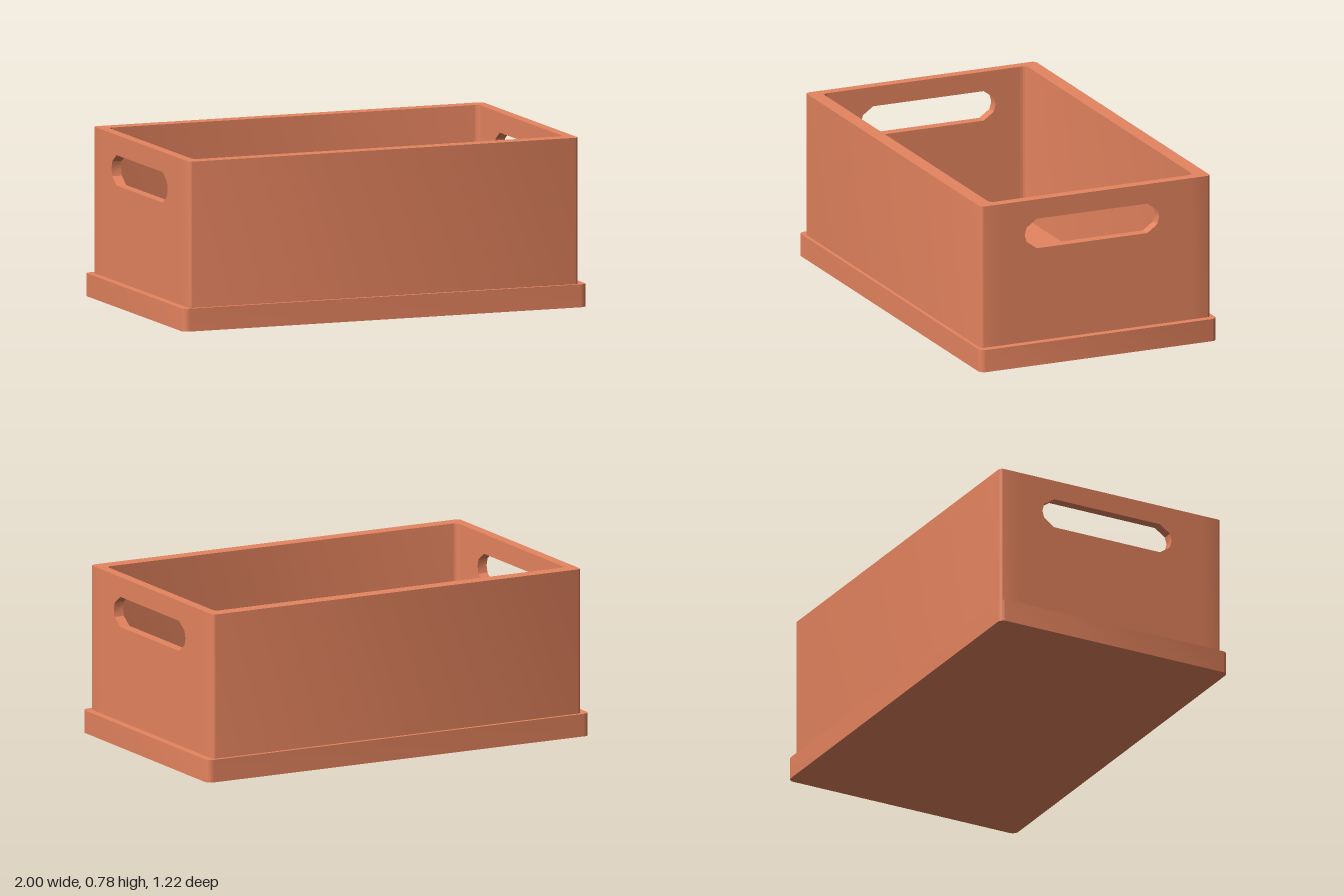
import * as THREE from 'three';
import { toCreasedNormals } from 'three/addons/utils/BufferGeometryUtils.js';

const BASE_H = 0.105, TOP = 0.775;       // base height, rim height
const FLOOR = 0.05;                      // height of the inside floor
const BX = 0.988, BZ = 0.59, BR = 0.03;  // base half sizes and corner radius
const OX = 0.953, OZ = 0.573, OR = 0.02; // outer half sizes and corner radius of the walls
const IX = 0.906, IZ = 0.507, IR = 0.025; // inner half sizes and corner radius
const SEAM = 0.47;                       // where end panels meet the long walls
const TURN = 0.021;                      // slight turn of the crate

const material = new THREE.MeshStandardMaterial({ color: 0xe5845f });

function extrude(shape, depth) {
  return new THREE.ExtrudeGeometry(shape, { depth, bevelEnabled: false, curveSegments: 6 });
}

// Extrude a plan shape upwards from height y
function extrudeUp(shape, y, height) {
  return extrude(shape, height).rotateX(-Math.PI / 2).translate(0, y, 0);
}

// Flat horizontal surface at height y
function flat(shape, y) {
  return new THREE.ShapeGeometry(shape, 6).rotateX(-Math.PI / 2).translate(0, y, 0);
}

// Remove the hidden faces lying in the plane axis = value (axis 0, 1, 2 = x, y, z)
function dropFaces(geometry, axis, value) {
  const p = geometry.attributes.position.array;
  const kept = [];
  for (let i = 0; i < p.length; i += 9) {
    const inPlane = [0, 3, 6].every(k => Math.abs(p[i + k + axis] - value) < 1e-5);
    if (!inPlane) kept.push(...p.slice(i, i + 9));
  }
  const result = new THREE.BufferGeometry();
  result.setAttribute('position', new THREE.Float32BufferAttribute(kept, 3));
  return result;
}

// Open the joints and the underside of a wall block, then smooth its corners
function finishWall(block) {
  const open = [[1, FLOOR], [2, SEAM], [2, -SEAM]]
    .reduce((geometry, [axis, value]) => dropFaces(geometry, axis, value), block);
  return toCreasedNormals(open, 0.6);
}

function roundedRect(hx, hy, r) {
  const s = new THREE.Shape();
  s.absarc(hx - r, hy - r, r, 0, Math.PI / 2);
  s.absarc(-hx + r, hy - r, r, Math.PI / 2, Math.PI);
  s.absarc(-hx + r, -hy + r, r, Math.PI, Math.PI * 1.5);
  s.absarc(hx - r, -hy + r, r, Math.PI * 1.5, Math.PI * 2);
  s.closePath();
  return s;
}

// Long wall with both rounded corners, in plan
function longWallShape() {
  const q = Math.PI / 2;
  const s = new THREE.Shape();
  s.moveTo(OX, SEAM);
  s.lineTo(OX, OZ - OR);
  s.absarc(OX - OR, OZ - OR, OR, 0, q);
  s.absarc(-OX + OR, OZ - OR, OR, q, Math.PI);
  s.lineTo(-OX, SEAM);
  s.lineTo(-IX, SEAM);
  s.absarc(-IX + IR, IZ - IR, IR, Math.PI, q, true);
  s.absarc(IX - IR, IZ - IR, IR, q, 0, true);
  s.lineTo(IX, SEAM);
  s.closePath();
  return s;
}

// End panel with a hand slot; the slots of both ends line up despite the turn
function endPanelShape() {
  const s = new THREE.Shape([[-SEAM, FLOOR], [SEAM, FLOOR], [SEAM, TOP], [-SEAM, TOP]]
    .map(([x, y]) => new THREE.Vector2(x, y)));
  const shift = -(OX + IX) / 2 * Math.tan(TURN);
  const quarter = [[0.335, 0], [0.326, 0.034], [0.275, 0.07]];
  const half = [...quarter, ...quarter.slice().reverse().map(([x, y]) => [-x, y])];
  const lower = half.slice(1, -1).reverse().map(([x, y]) => [x, -y]);
  s.holes.push(new THREE.Path([...half, ...lower]
    .map(([x, y]) => new THREE.Vector2(x + shift, y + 0.613))));
  return s;
}

export function createModel() {
  const model = new THREE.Group();
  model.name = 'crate';
  const crate = new THREE.Group();
  crate.name = 'crateBody';
  crate.rotation.y = TURN;
  model.add(crate);

  const add = (name, geometry, turn = 0) => {
    const mesh = new THREE.Mesh(geometry, material);
    mesh.name = name;
    mesh.rotation.y = turn;
    crate.add(mesh);
  };

  // Wider base with a ledge around the walls and a sunken floor inside
  const slab = extrudeUp(roundedRect(BX, BZ, BR), 0, BASE_H);
  add('base', toCreasedNormals(dropFaces(slab, 1, BASE_H), 0.6));
  const ledge = roundedRect(BX, BZ, BR);
  ledge.holes.push(roundedRect(OX, OZ, OR));
  add('ledge', flat(ledge, BASE_H));
  add('floor', flat(roundedRect(IX, IZ, IR), FLOOR));

  // Long walls
  const longWall = finishWall(extrudeUp(longWallShape(), FLOOR, TOP - FLOOR));
  add('backWall', longWall);
  add('frontWall', longWall, Math.PI);

  // End walls with hand slots
  const endWall = finishWall(
    extrude(endPanelShape(), OX - IX).rotateY(Math.PI / 2).translate(IX, 0, 0));
  add('leftWall', endWall);
  add('rightWall', endWall, Math.PI);

  return model;
}
